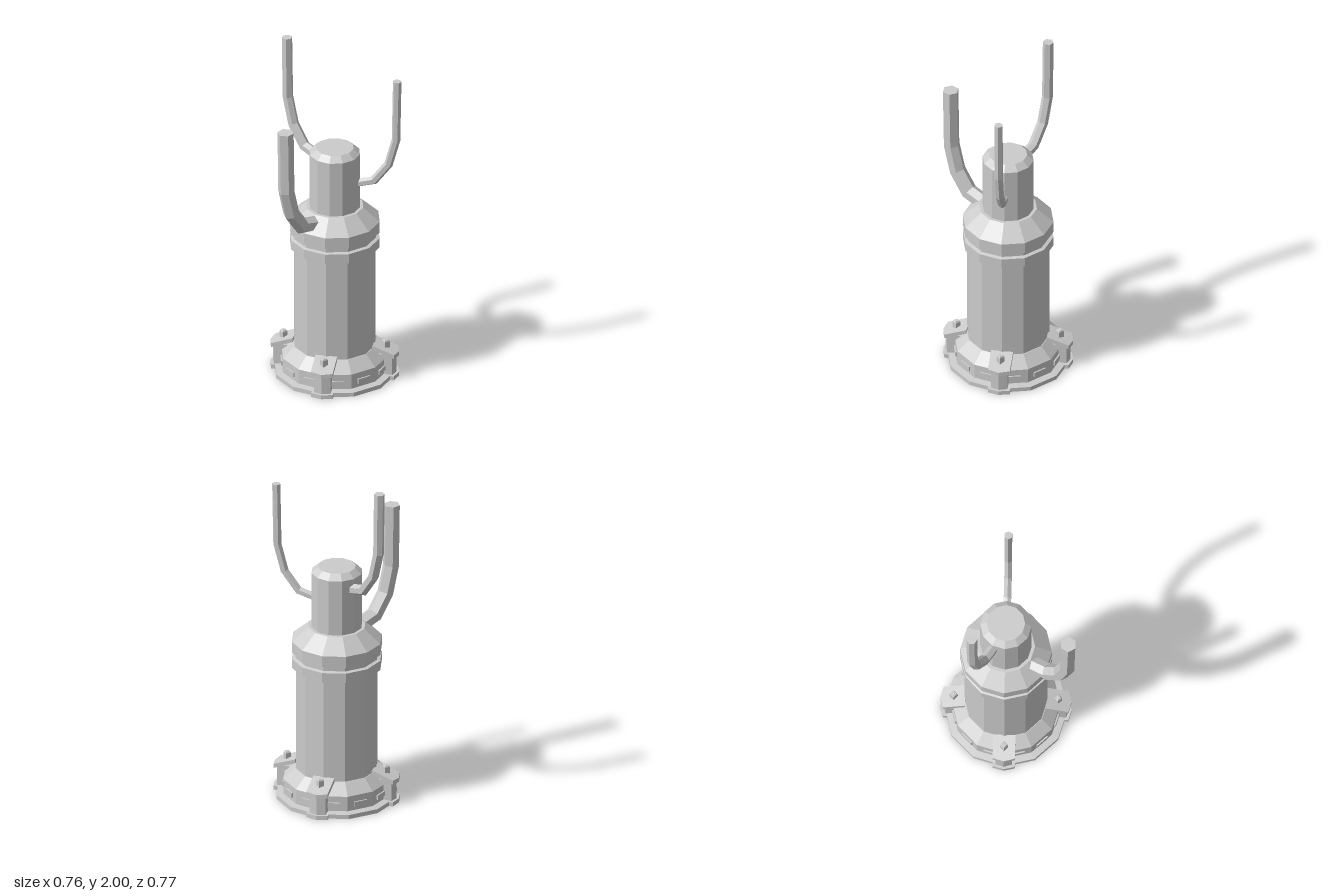
import * as THREE from 'three';

const material = new THREE.MeshStandardMaterial({ color: 0xcccccc, flatShading: true });
const SIDES = 12;

function add(parent, name, geometry) {
  const mesh = new THREE.Mesh(geometry, material);
  mesh.name = name;
  parent.add(mesh);
  return mesh;
}

// Faceted solid of revolution; profile runs upwards on the outside
function turned(profile) {
  return new THREE.LatheGeometry(profile.map(([r, y]) => new THREE.Vector2(r, y)), SIDES);
}

// Block with a shallow pointed outer end, reaching along +x
function pointedBlock(inner, outer, halfWidth, y0, y1) {
  const shape = new THREE.Shape([
    new THREE.Vector2(inner, -halfWidth),
    new THREE.Vector2(outer - 0.016, -halfWidth),
    new THREE.Vector2(outer, 0),
    new THREE.Vector2(outer - 0.016, halfWidth),
    new THREE.Vector2(inner, halfWidth),
  ]);
  const g = new THREE.ExtrudeGeometry(shape, { depth: y1 - y0, bevelEnabled: false });
  return g.rotateX(-Math.PI / 2).translate(0, y0, 0);
}

// Six-sided bar bent along a path in the xy plane, with mitred corners
function bentBar(path, radius) {
  const n = path.length - 1;
  const g = new THREE.CylinderGeometry(radius, radius, 1, 6, n, false, Math.PI / 6);
  const pos = g.attributes.position;
  const dir = (i) => path[i + 1].clone().sub(path[i]).normalize();
  for (let k = 0; k < pos.count; k++) {
    const i = Math.round((pos.getY(k) + 0.5) * n);
    const before = dir(Math.max(i - 1, 0));
    const t = before.clone().add(dir(Math.min(i, n - 1))).normalize();
    const u = pos.getX(k) / t.dot(before);
    pos.setXY(k, path[i].x + t.y * u, path[i].y - t.x * u);
  }
  g.computeVertexNormals();
  return g;
}

function createClamp() {
  const clamp = new THREE.Group();
  clamp.name = 'clamp';
  add(clamp, 'clampFoot', pointedBlock(0.27, 0.372, 0.063, 0, 0.025));
  add(clamp, 'clampBody', pointedBlock(0.26, 0.358, 0.047, 0.025, 0.15));

  // Cover plate rises towards the body
  const plate = pointedBlock(0.23, 0.372, 0.063, 0.13, 0.155);
  const pos = plate.attributes.position;
  for (let i = 0; i < pos.count; i++) {
    pos.setY(i, pos.getY(i) + (0.372 - pos.getX(i)) * 0.36);
  }
  plate.computeVertexNormals();
  add(clamp, 'clampPlate', plate);

  // Square peg with a chamfered tip
  add(clamp, 'pegShaft', new THREE.CylinderGeometry(0.023, 0.023, 0.07, 4)).position.set(0.296, 0.18, 0);
  add(clamp, 'pegTip', new THREE.CylinderGeometry(0.016, 0.023, 0.009, 4)).position.set(0.296, 0.2195, 0);
  return clamp;
}

export function createModel() {
  const model = new THREE.Group();
  model.name = 'prongedCylinder';
  const core = new THREE.Group();
  core.name = 'core';
  core.position.set(-0.008, 0, -0.017);
  model.add(core);

  // Main body, collar rings and sloped shoulder
  add(core, 'body', turned([[0, 0.13], [0.236, 0.13], [0.236, 0.815]]));
  add(core, 'lowerRing', turned([
    [0.23, 0.81], [0.26, 0.81], [0.26, 0.868], [0.24, 0.873], [0.24, 0.905],
  ]));
  add(core, 'shoulder', turned([
    [0.235, 0.9], [0.26, 0.905], [0.26, 0.973], [0.165, 1.055], [0.14, 1.055],
  ]));
  add(core, 'neck', turned([[0.146, 1.04], [0.146, 1.392], [0.109, 1.424], [0, 1.424]]));

  // Hollow base skirt with flange
  add(core, 'baseSkirt', turned([
    [0.236, 0.15], [0.285, 0.11], [0.285, 0], [0.349, 0], [0.349, 0.025],
    [0.308, 0.03], [0.308, 0.12], [0.24, 0.182], [0.23, 0.182],
  ]));

  // Raised bar on every face of the skirt
  for (let i = 0; i < SIDES; i++) {
    const a = ((i + 0.5) / SIDES) * Math.PI * 2;
    const r = 0.288;
    const bar = add(core, 'skirtBar', new THREE.BoxGeometry(0.08, 0.028, 0.036));
    bar.position.set(Math.sin(a) * r, 0.068, Math.cos(a) * r);
    bar.rotation.y = a;
  }

  for (let i = 0; i < 4; i++) {
    const clamp = createClamp();
    clamp.rotation.y = (i * Math.PI) / 2;
    core.add(clamp);
  }

  // Three upswept prongs of differing height and thickness
  const prongs = [
    { angle: 0, y: 1.21, shift: 0, radius: 0.0247 },
    { angle: 120, y: 1.325, shift: 0.002, radius: 0.031 },
    { angle: -120, y: 1.005, shift: 0.055, radius: 0.047 },
  ];
  prongs[1].angle = 150;
  prongs[2].angle = -120;
  for (const { angle, y, shift, radius } of prongs) {
    const path = [[0.128, 0], [0.228, 0.028], [0.312, 0.14], [0.355, 0.3], [0.362, 0.675]]
      .map(([r, h]) => new THREE.Vector2(r + shift, y + h));
    add(core, 'prong', bentBar(path, radius)).rotation.y = (angle * Math.PI) / 180;
  }
  return model;
}
